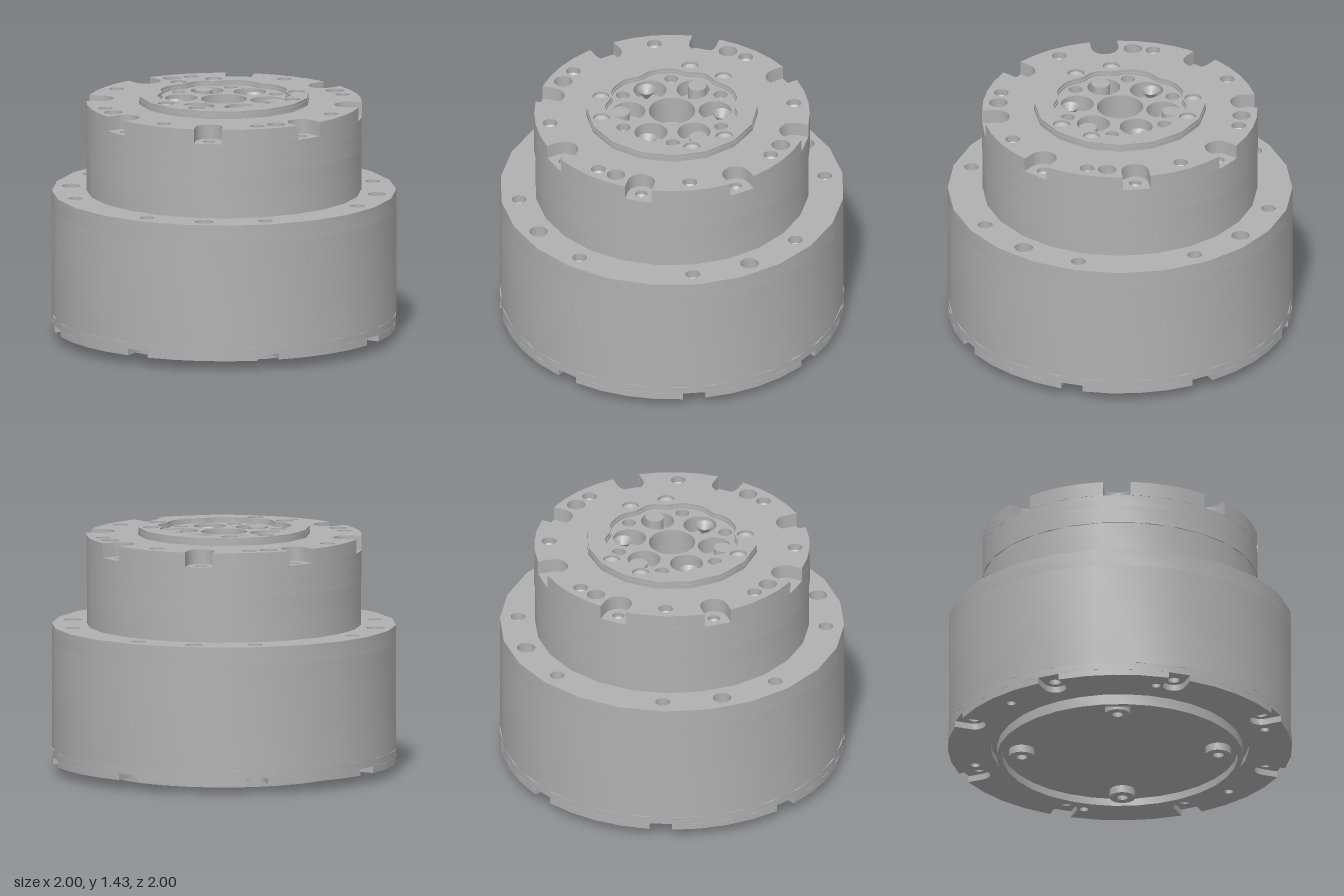
import * as THREE from 'three';
import { toCreasedNormals } from 'three/addons/utils/BufferGeometryUtils.js';

const RAD = Math.PI / 180;
const polar = (r, deg) => [r * Math.cos(deg * RAD), r * Math.sin(deg * RAD)];

// Plan outlines use (x, z) coordinates
function circle(r, sides, x = 0, z = 0) {
  return Array.from({ length: sides }, (_, i) => {
    const [px, pz] = polar(r, (i * 360) / sides);
    return new THREE.Vector2(x + px, z + pz);
  });
}

// Centres of n equally spaced features
const around = (n, r, start) =>
  Array.from({ length: n }, (_, i) => polar(r, start + (i * 360) / n));
const drill = (centres, r) => centres.map(([x, z]) => circle(r, 14, x, z));

// Round outline with eight U-shaped notches cut in from the rim
function notchedOutline(R, start, centreR, w) {
  const pts = [];
  const half = Math.asin(w / R);
  for (let k = 0; k < 8; k++) {
    const a = (start + k * 45) * RAD;
    const add = (d, t) => pts.push(new THREE.Vector2(
      d * Math.cos(a) - t * Math.sin(a), d * Math.sin(a) + t * Math.cos(a)));
    add(R * Math.cos(half), -w);
    for (let s = 0; s <= 8; s++) {
      const p = (s / 8) * Math.PI;
      add(centreR - w * Math.sin(p), -w * Math.cos(p));
    }
    add(R * Math.cos(half), w);
    for (let s = 1; s < 4; s++) {
      const b = half + (s / 4) * (Math.PI / 4 - 2 * half);
      add(R * Math.cos(b), R * Math.sin(b));
    }
  }
  return pts;
}

// Scalloped opening that bulges inward around the face screws
const SCREW_ANGLES = [-22, 8, 98, 128, 218, 248];
const BUMPS = [...SCREW_ANGLES, 53, 173, 293];
function scallop(scale) {
  return Array.from({ length: 108 }, (_, i) => {
    const deg = (i * 360) / 108;
    let dip = 0;
    for (const b of BUMPS) {
      const d = ((deg - b + 540) % 360) - 180;
      dip = Math.max(dip, Math.exp(-(d * d) / 81));
    }
    const [x, z] = polar((0.386 - 0.026 * dip) * scale, deg);
    return new THREE.Vector2(x, z);
  });
}

export function createModel() {
  const model = new THREE.Group();
  model.name = 'gearedActuator';
  const grey = new THREE.MeshStandardMaterial({ color: 0xb0b0b0, side: THREE.DoubleSide });
  grey.name = 'machined grey';

  function addMesh(name, geometry) {
    const mesh = new THREE.Mesh(geometry, grey);
    mesh.name = name;
    model.add(mesh);
    return mesh;
  }
  // Plate from y0 to y1 with a plan outline and vertical holes
  function slab(name, y0, y1, outline, holes = []) {
    const shape = new THREE.Shape(outline);
    shape.holes = holes.map((h) => new THREE.Path(h));
    const geo = new THREE.ExtrudeGeometry(shape, { depth: y1 - y0, bevelEnabled: false });
    geo.rotateX(Math.PI / 2).translate(0, y1, 0);
    return addMesh(name, toCreasedNormals(geo, 0.65));
  }
  // Drill-point bottoms, tip down
  function drillTips(name, centres, r, yTop, depth) {
    for (const [x, z] of centres) {
      const geo = new THREE.ConeGeometry(r, depth, 14, 1, true);
      geo.rotateX(Math.PI).translate(x, yTop - depth / 2, z);
      addMesh(name, geo);
    }
  }
  function posts(name, centres, r, y0, y1) {
    for (const [x, z] of centres) {
      addMesh(name, new THREE.CylinderGeometry(r, r, y1 - y0, 16)
        .translate(x, (y0 + y1) / 2, z));
    }
  }

  // Base cover: thin rim, recessed floor and four bored bosses
  const rim = circle(0.715, 32).filter((p) => Math.abs(Math.atan2(p.y, p.x) + 0.113) > 0.09);
  slab('baseRim', 0, 0.055, rim, [circle(0.685, 32)]);
  slab('baseFloor', 0.045, 0.07, circle(0.7, 32));
  for (const [x, z] of around(4, 0.57, 38)) {
    slab('baseBoss', 0, 0.045, circle(0.075, 16, x, z), [circle(0.032, 12, x, z)]);
  }

  // Bottom flange with notches and screw holes
  const flangeBolts = around(8, 0.9, 16.3);
  slab('flangeLower', 0.055, 0.092, notchedOutline(1, 16.3, 0.9, 0.065),
    [circle(0.75, 32), ...drill(around(6, 0.875, -7.2), 0.026)]);
  slab('flangeUpper', 0.092, 0.135, circle(1, 32), drill(flangeBolts, 0.035));

  // Main housing with holes in its shoulder
  const housingTapped = [...around(4, 0.895, -74), ...around(4, 0.895, -29.4)];
  const housingDowels = around(4, 0.895, -6.4);
  slab('housing', 0.135, 0.76, circle(1, 24));
  slab('housingShoulder', 0.76, 0.86, circle(1, 24),
    [...drill(housingTapped, 0.043), ...drill(housingDowels, 0.054)]);
  drillTips('housingHoleTip', housingTapped, 0.043, 0.81, 0.045);

  // Neck
  slab('neck', 0.86, 1.125, circle(0.797, 24));

  // Output ring with notched top edge
  const notchBolts = around(8, 0.725, -7);
  const ringTapped = [...around(4, 0.715, -74.5), ...around(4, 0.715, -29.5)];
  const ringDowels = around(4, 0.71, -39);
  slab('ringBase', 1.125, 1.23, circle(0.8, 32));
  slab('ringMiddle', 1.23, 1.3, circle(0.8, 32),
    [...drill(notchBolts, 0.036), circle(0.135, 24)]);
  slab('ringTop', 1.3, 1.385, notchedOutline(0.8, -7, 0.725, 0.08),
    [...drill(ringTapped, 0.043), ...drill(ringDowels, 0.054), scallop(1)]);
  drillTips('ringHoleTip', ringTapped, 0.043, 1.345, 0.043);
  drillTips('notchHoleTip', notchBolts, 0.036, 1.275, 0.043);

  // Raised face with scalloped opening and countersunk screw holes
  const faceScrews = SCREW_ANGLES.map((a) => polar(0.426, a));
  slab('faceLower', 1.385, 1.412, circle(0.5, 16), [scallop(1), ...drill(faceScrews, 0.047)]);
  slab('faceUpper', 1.412, 1.43, circle(0.497, 16), [scallop(1.015), ...drill(faceScrews, 0.05)]);
  drillTips('faceScrewTip', faceScrews, 0.047, 1.415, 0.029);
  posts('faceScrew', faceScrews, 0.022, 1.386, 1.405);

  // Carrier plate with centre bore, six pockets and six tapped holes
  const carrierTapped = around(6, 0.328, -37);
  slab('carrier', 1.3, 1.4, scallop(0.998),
    [circle(0.135, 24), ...around(6, 0.25, -7).map(([x, z]) => circle(0.096, 20, x, z)),
      ...drill(carrierTapped, 0.041)]);
  drillTips('carrierHoleTip', carrierTapped, 0.041, 1.35, 0.045);

  // Pins and conical seats in alternate pockets
  posts('carrierPin', around(3, 0.3, -7), 0.053, 1.3, 1.398);
  drillTips('carrierSeat', around(3, 0.29, 53), 0.055, 1.38, 0.075);

  return model;
}
